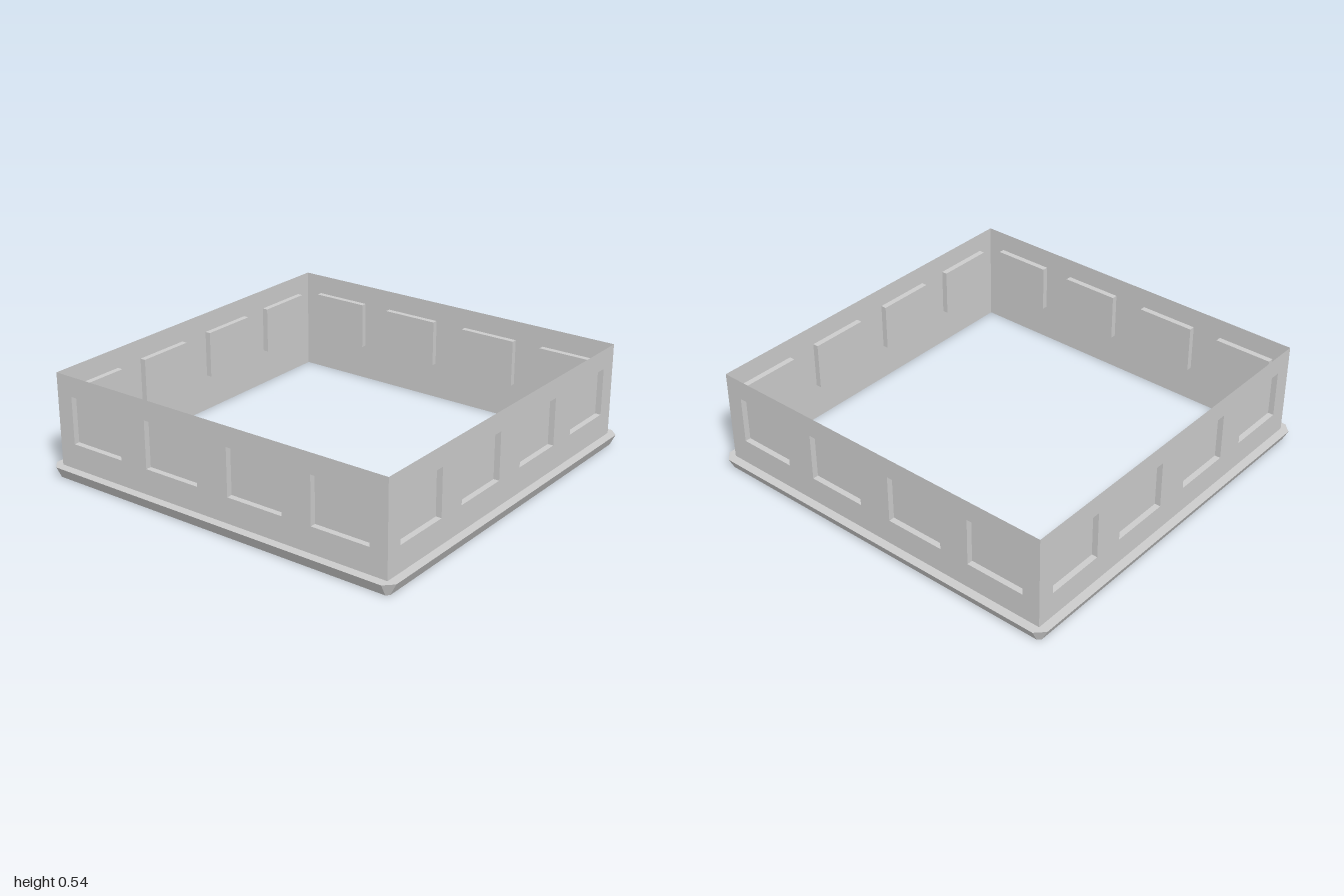
import * as THREE from 'three';

const W = 0.955;                 // half width of the wall square
const H = 0.535;                 // wall height
const SILL = 0.19, HEAD = 0.433; // window opening heights
const DEPTH = 0.03;              // window recess depth
const WINDOWS = [[-0.865, -0.558], [-0.4, -0.09], [0.088, 0.396], [0.554, 0.863]];

const material = new THREE.MeshStandardMaterial({
  color: 0xcccccc, flatShading: true, side: THREE.DoubleSide,
});

function add(parent, geometry, name) {
  const mesh = new THREE.Mesh(geometry, material);
  mesh.name = name;
  parent.add(mesh);
  return mesh;
}

function rectangle(PathType, x0, y0, x1, y1) {
  return new PathType([[x0, y0], [x1, y0], [x1, y1], [x0, y1]].map(p => new THREE.Vector2(...p)));
}

// Thin wall panel with four window openings
function wallGeometry() {
  const shape = rectangle(THREE.Shape, -W, 0, W, H);
  for (const [a, b] of WINDOWS) shape.holes.push(rectangle(THREE.Path, a, SILL, b, HEAD));
  return new THREE.ShapeGeometry(shape);
}

// Box without its outward (+z) face: reveals and back of a recessed window
function recessGeometry(width) {
  const box = new THREE.BoxGeometry(width, HEAD - SILL, DEPTH);
  const index = Array.from(box.index.array);
  index.splice(24, 6);
  box.setIndex(index);
  box.clearGroups();
  return box;
}

// Eight-point ring: square of half size r whose corners are cut at c
function ring(r, c, y) {
  return [[c, r], [r, c], [r, -c], [c, -r], [-c, -r], [-r, -c], [-r, c], [-c, r]]
    .map(([x, z]) => [x, y, z]);
}

// Sloping base trim with clipped corners, lofted through rings
function trimGeometry() {
  const rings = [ring(W, W, 0.06), ring(1, W, 0.06), ring(0.97, W, 0), ring(W, W, 0)];
  const index = [];
  for (let k = 0; k < rings.length - 1; k++) {
    for (let i = 0; i < 8; i++) {
      const j = (i + 1) % 8;
      const a = k * 8 + i, b = k * 8 + j, c = a + 8, d = b + 8;
      index.push(a, c, b, b, c, d);
    }
  }
  const geometry = new THREE.BufferGeometry();
  geometry.setAttribute('position', new THREE.Float32BufferAttribute(rings.flat(2), 3));
  geometry.setIndex(index);
  const flat = geometry.toNonIndexed();
  flat.computeVertexNormals();
  return flat;
}

export function createModel() {
  const model = new THREE.Group();
  model.name = 'wallRing';

  // Four identical sides turned around the centre
  const wall = wallGeometry();
  ['front', 'left', 'back', 'right'].forEach((name, i) => {
    const side = new THREE.Group();
    side.name = name + 'Side';
    side.rotation.y = i * Math.PI / 2;
    add(side, wall, 'wall').position.z = W;
    for (const [a, b] of WINDOWS) {
      add(side, recessGeometry(b - a), 'windowRecess')
        .position.set((a + b) / 2, (SILL + HEAD) / 2, W - DEPTH / 2);
    }
    model.add(side);
  });

  add(model, trimGeometry(), 'baseTrim');
  return model;
}
